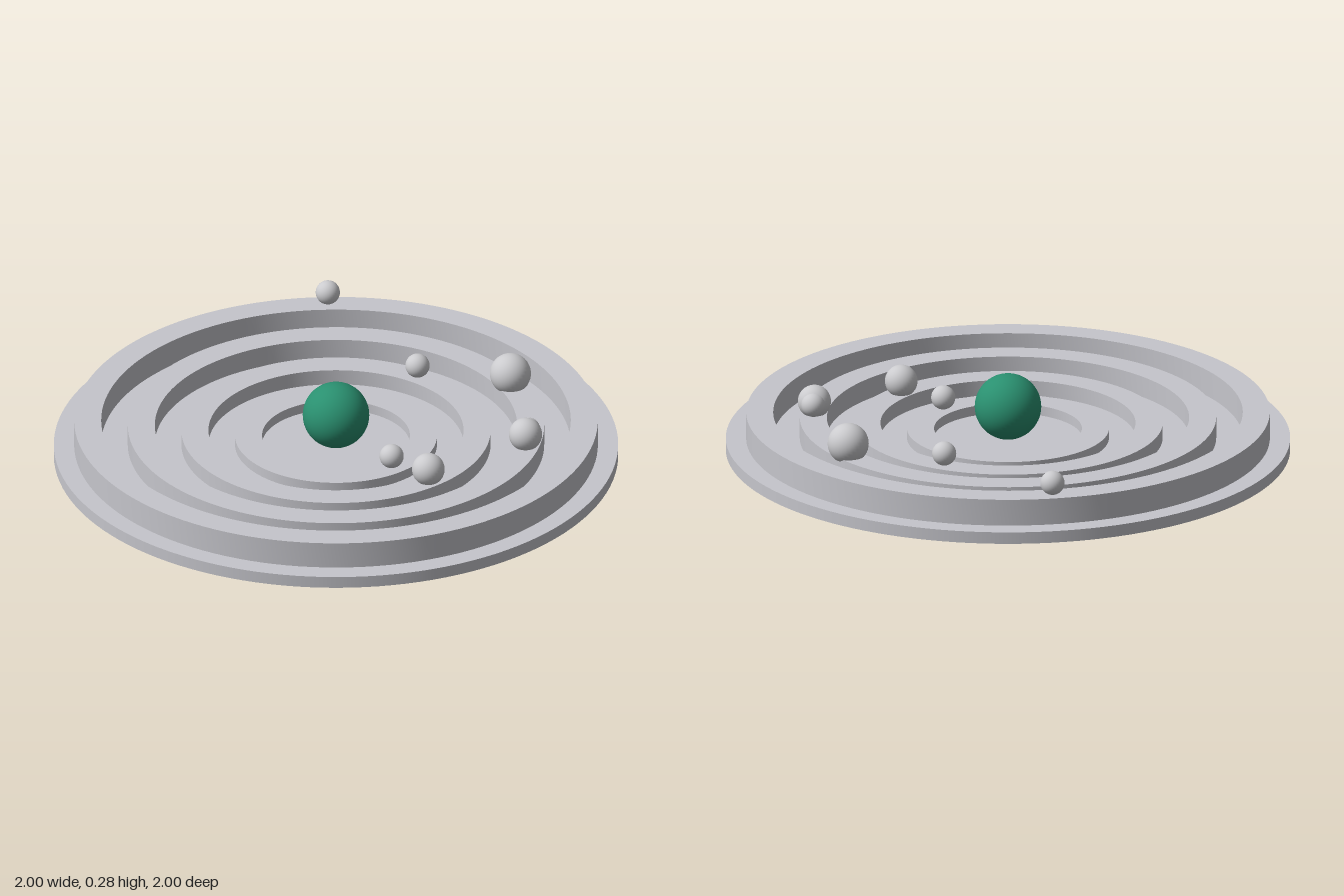
import * as THREE from 'three';
import { toCreasedNormals } from 'three/addons/utils/BufferGeometryUtils.js';

const BASE_HEIGHT = 0.043;

export function createModel() {
  const model = new THREE.Group();
  model.name = 'orreryDish';

  const material = (name, color) => {
    const m = new THREE.MeshStandardMaterial({ color });
    m.name = name;
    return m;
  };
  const stone = material('pale grey', 0xc6c6cc);
  const silver = material('silver', 0xcbcbce);
  const green = material('sea green', 0x2a9070);

  const add = (name, geometry, mat, x = 0, y = 0, z = 0) => {
    const mesh = new THREE.Mesh(geometry, mat);
    mesh.name = name;
    mesh.position.set(x, y, z);
    model.add(mesh);
  };

  // Round base plate
  add('basePlate', new THREE.CylinderGeometry(1, 1, BASE_HEIGHT, 128), stone, 0, BASE_HEIGHT / 2, 0);

  // Concentric orbit rings, each a step taller than the one inside it
  const ringTop = (i) => 0.079 + i * 0.0203;
  for (let i = 0; i < 4; i++) {
    const inner = 0.262 + i * 0.19;
    const outer = inner + 0.096;
    const top = ringTop(i);
    const profile = [
      [inner, BASE_HEIGHT], [outer, BASE_HEIGHT], [outer, top], [inner, top], [inner, BASE_HEIGHT],
    ].map(([r, y]) => new THREE.Vector2(r, y));
    add(`orbitRing${i + 1}`, toCreasedNormals(new THREE.LatheGeometry(profile, 128), 0.6), stone);
  }

  // Central ball resting on the plate
  add('centreBall', new THREE.SphereGeometry(0.118, 48, 32), green, 0, 0.161, 0);

  // Small balls riding the rings: ring index, x, z, radius
  const balls = [
    [0, 0.171, 0.256, 0.043],
    [1, 0.33, -0.374, 0.043],
    [1, 0.286, 0.406, 0.058],
    [2, 0.647, -0.242, 0.073],
    [2, 0.652, 0.219, 0.059],
    [2, 0.665, 0.184, 0.043],
    [3, 0.064, -0.88, 0.043],
  ];
  balls.forEach(([ring, x, z, r], i) => {
    add(`orbitBall${i + 1}`, new THREE.SphereGeometry(r, 32, 24), silver, x, ringTop(ring) + 0.043, z);
  });

  return model;
}
